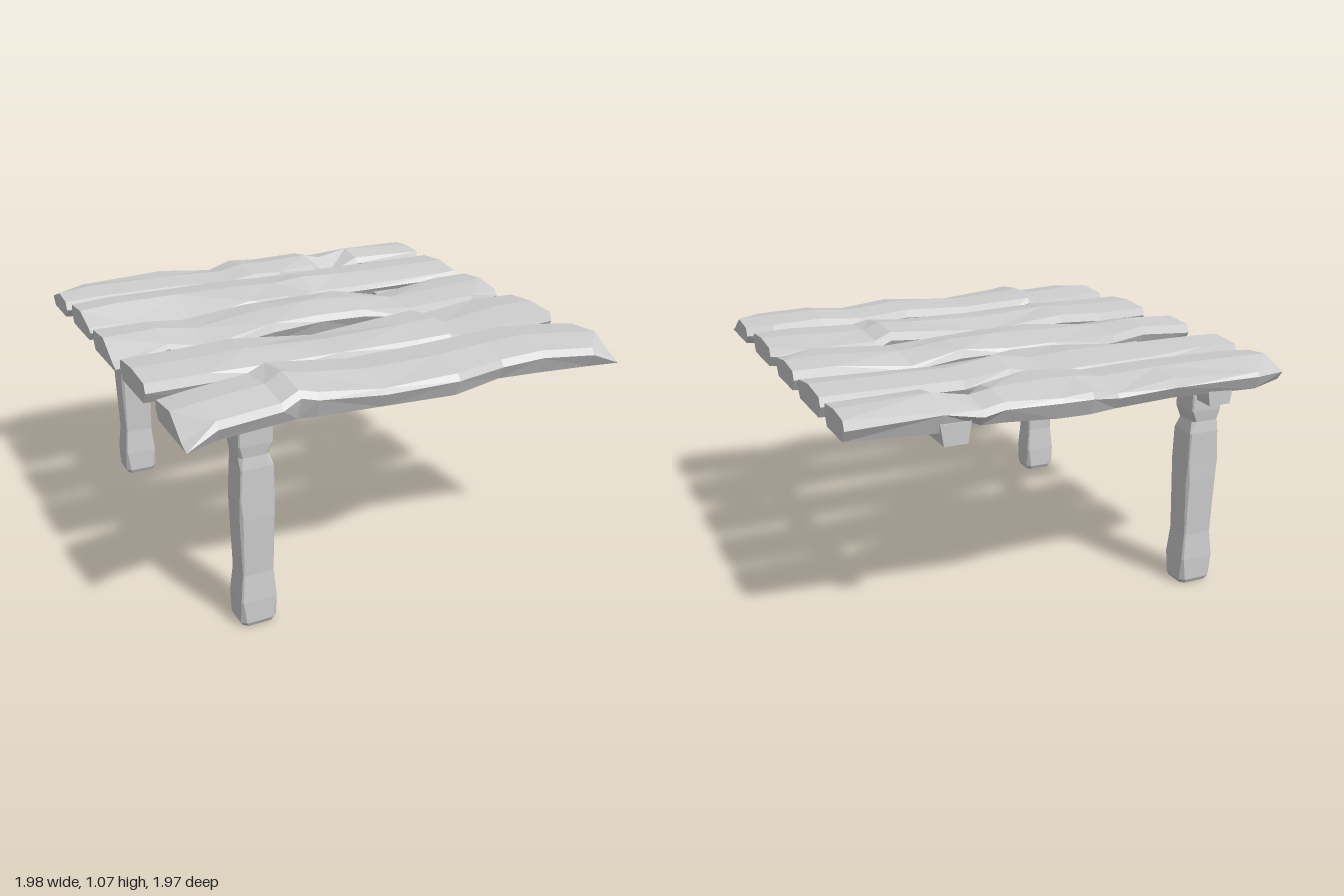
import * as THREE from 'three';

const wood = new THREE.MeshStandardMaterial({ color: 0xcccccc, flatShading: true });
wood.name = 'pale grey wood';

// Skins a row of cross-sections (counter-clockwise seen from the far end) and caps both ends.
function loft(name, rings) {
  const pos = [];
  const tri = (a, b, c) => pos.push(...a, ...b, ...c);
  const n = rings[0].length;
  for (let i = 0; i < rings.length - 1; i++) {
    for (let j = 0; j < n; j++) {
      const k = (j + 1) % n;
      const a = rings[i][j], b = rings[i][k], c = rings[i + 1][k], d = rings[i + 1][j];
      if ((i + j) % 2) { tri(a, b, c); tri(a, c, d); } else { tri(a, b, d); tri(b, c, d); }
    }
  }
  const first = rings[0], last = rings[rings.length - 1];
  for (let j = 1; j < n - 1; j++) {
    tri(first[0], first[j + 1], first[j]);
    tri(last[0], last[j], last[j + 1]);
  }
  const geometry = new THREE.BufferGeometry();
  geometry.setAttribute('position', new THREE.Float32BufferAttribute(pos, 3));
  geometry.computeVertexNormals();
  const mesh = new THREE.Mesh(geometry, wood);
  mesh.name = name;
  return mesh;
}

// Plank sections: x, back z, front z, top, bottom, drop of the front top edge, drop of the back one
const planks = {
  backPlank: [
    [-0.99, -0.92, -0.66, 1.02, 0.93, 0, 0.03], [-0.83, -0.97, -0.65, 1.03, 0.92, 0, 0.02],
    [-0.42, -0.96, -0.64, 1.03, 0.93, 0, 0], [-0.15, -0.96, -0.63, 1.02, 0.92, 0, 0.02],
    [-0.02, -0.985, -0.63, 1.04, 0.92, 0, 0.01], [0.12, -0.98, -0.61, 1.04, 0.92, 0, 0.02],
    [0.35, -0.96, -0.68, 1.04, 0.93, 0.01, 0.01], [0.44, -0.955, -0.66, 1.02, 0.93, 0.06, 0.01],
    [0.6, -0.95, -0.67, 1.05, 0.92, 0.01, 0.03], [0.98, -0.92, -0.665, 1.03, 0.93, 0, 0]],
  secondPlank: [
    [-0.98, -0.605, -0.285, 1.03, 0.93, 0.03, 0], [-0.8, -0.615, -0.3, 1.04, 0.92, 0.05, 0],
    [-0.5, -0.64, -0.27, 1.04, 0.92, 0.05, 0.01], [-0.2, -0.65, -0.25, 1.04, 0.93, 0.01, 0.01],
    [0, -0.65, -0.25, 1.03, 0.93, 0, 0.01], [0.15, -0.585, -0.27, 1.05, 0.92, 0.03, 0.01],
    [0.38, -0.625, -0.285, 1.03, 0.92, 0.02, 0], [0.98, -0.61, -0.275, 1.03, 0.93, 0.01, 0]],
  middlePlank: [
    [-0.99, -0.21, 0.125, 1.03, 0.93, 0.06, 0], [-0.75, -0.185, 0.12, 1.04, 0.92, 0.02, 0],
    [-0.58, -0.195, 0.165, 1.02, 0.92, 0.02, 0], [-0.25, -0.245, 0.12, 1.04, 0.93, 0, 0.01],
    [0, -0.25, 0.11, 1.05, 0.92, 0.01, 0.02], [0.22, -0.22, 0.105, 1.04, 0.93, 0.01, 0],
    [0.45, -0.215, 0.12, 1.01, 0.92, 0, 0.02], [0.8, -0.215, 0.14, 1.03, 0.92, 0, 0],
    [0.98, -0.215, 0.085, 1.03, 0.93, 0.01, 0]],
  fourthPlank: [
    [-0.99, 0.195, 0.525, 1.03, 0.93, 0, 0], [-0.72, 0.185, 0.53, 1.03, 0.92, 0, 0],
    [-0.5, 0.19, 0.55, 1.04, 0.92, 0.01, 0], [-0.12, 0.2, 0.535, 1.02, 0.93, 0, 0.02],
    [0.25, 0.205, 0.55, 1.03, 0.93, 0.01, 0], [0.4, 0.205, 0.57, 1.04, 0.92, 0.01, 0],
    [0.48, 0.19, 0.575, 1.01, 0.92, 0, 0], [0.8, 0.14, 0.545, 1.03, 0.92, 0, 0.01],
    [0.98, 0.19, 0.52, 1.03, 0.93, 0, 0]],
  frontPlank: [
    [-0.99, 0.645, 0.98, 1.02, 0.93, 0.07, 0], [-0.86, 0.63, 0.965, 1.03, 0.925, 0.01, 0],
    [-0.58, 0.57, 0.92, 1.03, 0.92, 0.01, 0], [-0.5, 0.555, 0.91, 1.065, 0.92, 0.01, 0.01],
    [-0.43, 0.56, 0.925, 1.05, 0.92, 0.01, 0], [-0.15, 0.6, 0.95, 1.03, 0.92, 0.02, 0],
    [0.17, 0.615, 0.98, 1.04, 0.92, 0.01, 0], [0.43, 0.575, 0.91, 1.03, 0.92, 0.01, 0],
    [0.62, 0.59, 0.93, 1.045, 0.92, 0.01, 0], [0.86, 0.615, 0.965, 1.03, 0.92, 0.01, 0],
    [0.985, 0.645, 0.98, 1.02, 0.93, 0.06, 0]],
};

function makePlank(name, sections) {
  return loft(name, sections.map(([x, zb, zf, top, bottom, dropF, dropB]) => {
    const mid = (zb + zf) / 2;
    return [
      [x, bottom, zb + 0.03], [x, top - 0.05, zb], [x, top - 0.012 - dropB, zb + 0.015],
      [x, top, mid],
      [x, top - 0.012 - dropF, zf - 0.015 - dropF * 0.5], [x, Math.min(top - 0.05, top - 0.03 - dropF), zf],
      [x, bottom, zf - 0.03]];
  }));
}

// Cross beam sections: z, underside y, sideways shift
const beamSections = [
  [-0.94, 0.87, 0], [-0.75, 0.88, 0.01], [-0.57, 0.85, -0.01], [-0.4, 0.89, 0], [-0.15, 0.88, 0.01],
  [0, 0.86, 0], [0.2, 0.86, -0.01], [0.5, 0.89, 0], [0.7, 0.85, 0.01], [0.86, 0.91, 0]];

function makeBeam(name, x) {
  return loft(name, beamSections.map(([z, y, s]) => [
    [x + 0.05 + s, y, z], [x + 0.065 + s, 0.96, z], [x - 0.065 + s, 0.96, z], [x - 0.05 + s, y, z]]));
}

// Leg sections: y, right x, left x, half depth, corner cut
const legSections = [
  [0, -0.725, -0.585, 0.06, 0.02], [0.02, -0.735, -0.577, 0.07, 0.02], [0.12, -0.735, -0.577, 0.069, 0.008],
  [0.24, -0.722, -0.587, 0.059, 0.005], [0.5, -0.73, -0.577, 0.067, 0.012], [0.58, -0.73, -0.578, 0.066, 0.005],
  [0.72, -0.722, -0.58, 0.065, 0.006], [0.77, -0.725, -0.595, 0.058, 0.015],
  [0.82, -0.728, -0.582, 0.064, 0.005], [0.94, -0.725, -0.582, 0.064, 0.005]];

function makeLeg(name, z) {
  return loft(name, legSections.map(([y, x0, x1, d, c]) => [
    [x1 - c, y, z + d], [x1, y, z + d - c], [x1, y, z - d + c], [x1 - c, y, z - d],
    [x0 + c, y, z - d], [x0, y, z - d + c], [x0, y, z + d - c], [x0 + c, y, z + d]]));
}

export function createModel() {
  const model = new THREE.Group();
  model.name = 'plankPlatform';
  for (const [name, sections] of Object.entries(planks)) model.add(makePlank(name, sections));
  model.add(makeBeam('rightBeam', -0.655), makeBeam('leftBeam', 0.55));
  model.add(makeLeg('frontLeg', 0.765), makeLeg('backLeg', -0.79));
  return model;
}
